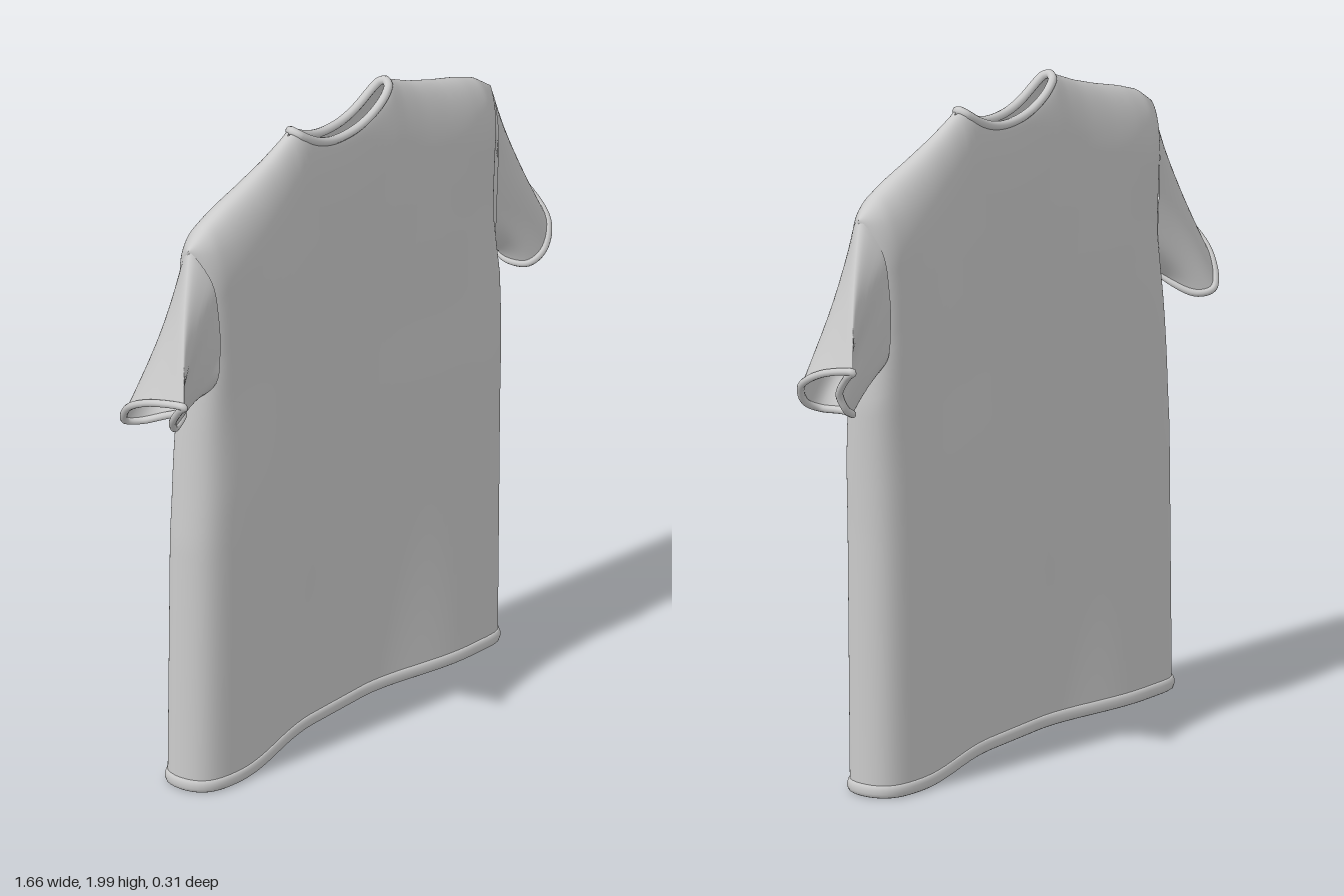
import * as THREE from 'three';

const cloth = new THREE.MeshStandardMaterial({ color: 0xcccccc, roughness: 0.9, side: THREE.DoubleSide });
const { lerp, smoothstep, clamp } = THREE.MathUtils;

// Piecewise-linear lookup through [key, value] pairs
function lookup(pairs, k) {
  for (let i = 1; i < pairs.length; i++) {
    const [a, va] = pairs[i - 1], [b, vb] = pairs[i];
    if (k <= b) return lerp(va, vb, clamp((k - a) / (b - a), 0, 1));
  }
  return pairs[pairs.length - 1][1];
}

// Surface of closed rings: at(s, t) with s around (0..1) and t along (0..1)
function ringSurface(name, cols, rows, at, skip = () => false) {
  const pos = [], idx = [];
  for (let j = 0; j <= rows; j++)
    for (let i = 0; i < cols; i++) pos.push(...at(i / cols, j / rows));
  for (let j = 0; j < rows; j++)
    for (let i = 0; i < cols; i++) {
      const a = j * cols + i, b = j * cols + (i + 1) % cols, c = a + cols, d = b + cols;
      if (!skip(pos[a * 3], pos[a * 3 + 1])) idx.push(a, c, b, b, c, d);
    }
  const geo = new THREE.BufferGeometry();
  geo.setAttribute('position', new THREE.Float32BufferAttribute(pos, 3));
  geo.setIndex(idx);
  geo.computeVertexNormals();
  const mesh = new THREE.Mesh(geo, cloth);
  mesh.name = name;
  return mesh;
}

// Rounded trim sewn along a closed edge
function trim(name, points, radius) {
  const curve = new THREE.CatmullRomCurve3(points, true);
  const mesh = new THREE.Mesh(new THREE.TubeGeometry(curve, 160, radius, 10, true), cloth);
  mesh.name = name;
  return mesh;
}

const NECK = 0.2;
const leftEdge = [[0, 0.60], [0.8, 0.61], [1.2, 0.62], [1.4, 0.605], [1.6, 0.615], [1.77, 0.64]];
const rightEdge = [[0, -0.655], [0.8, -0.645], [1.2, -0.62], [1.4, -0.605], [1.6, -0.615], [1.77, -0.64]];
const shoulder = [[NECK, 1.98], [0.3, 1.93], [0.4, 1.89], [0.5, 1.855], [0.57, 1.825], [0.64, 1.77]];

// Height of the neckline and shoulder line
function topY(x) {
  const ax = Math.abs(x);
  return ax < NECK ? 1.895 + 0.085 * Math.pow(ax / NECK, 2.2) : lookup(shoulder, ax);
}

// Half depth of the neck opening
const neckDepth = (x) => 0.03 * Math.sqrt(Math.max(0, 1 - Math.pow(Math.abs(x) / NECK, 8)));

// Point on the body: pinched in the middle of the hem, fuller at the sides, rounding over the shoulders
function bodyPoint(s, t) {
  const a = s * Math.PI * 2, u = Math.cos(a), side = Math.sin(a) >= 0 ? 1 : -1;
  const top = topY(u * 0.64), y = lerp(0.01, top, 1 - Math.pow(1 - t, 1.9));
  const x = lerp(lookup(rightEdge, y), lookup(leftEdge, y), (u + 1) / 2);
  const edge = Math.sqrt(Math.max(0, 1 - Math.pow(Math.abs(u), 20)));
  const rise = smoothstep(y, 0, 1);
  const full = lerp(lerp(0.016, 0.046, rise), 0.085, smoothstep(Math.abs(u), lerp(0.16, 0.08, rise), 0.78));
  const d = 1 - clamp((top - y) / 0.2, 0, 1);
  const close = Math.sqrt(1 - d * d);
  const depth = full * edge * close + neckDepth(u * 0.64) * (1 - close);
  const sway = 0.032 * Math.pow(u, 9) * (1 - smoothstep(y, 0.95, 1.5))
    - 0.01 * smoothstep(-u, 0.4, 0.9) * smoothstep(y, 0.9, 1.3) * close;
  return [x, y, sway + side * depth];
}

const ring = (pts) => new THREE.CatmullRomCurve3(pts.map((p) => new THREE.Vector3(...p)), true);

// All rings run from the top, down the front, and back up behind
const armhole = ring([
  [0.635, 1.768, 0], [0.605, 1.68, 0.06], [0.59, 1.56, 0.074], [0.584, 1.44, 0.074], [0.588, 1.34, 0.062],
  [0.60, 1.28, 0], [0.588, 1.34, -0.062], [0.584, 1.44, -0.074], [0.59, 1.56, -0.074], [0.605, 1.68, -0.06]]);
const leftCuff = ring([
  [0.815, 1.39, -0.13], [0.81, 1.355, -0.01], [0.79, 1.29, 0.085], [0.75, 1.225, 0.105], [0.70, 1.195, 0.09],
  [0.675, 1.195, 0.03], [0.70, 1.205, -0.03], [0.745, 1.235, -0.045], [0.775, 1.29, -0.045], [0.80, 1.36, -0.095]]);
const rightCuff = ring([
  [0.815, 1.39, -0.145], [0.81, 1.35, -0.01], [0.785, 1.28, 0.10], [0.745, 1.205, 0.145], [0.70, 1.195, 0.12],
  [0.665, 1.225, 0.05], [0.665, 1.25, -0.005], [0.72, 1.235, -0.025], [0.765, 1.285, -0.055], [0.80, 1.36, -0.115]]);

// Twisted short sleeve with its cuff
function sleeve(name, cuff) {
  const group = new THREE.Group();
  group.name = name;
  const at = (s, t) => {
    const p = armhole.getPoint(s).lerp(cuff.getPoint(s), t);
    p.x += 0.012 * Math.sin(Math.PI * t);
    return p.toArray();
  };
  group.add(ringSurface('sleeveCloth', 60, 20, at));
  group.add(trim('sleeveCuff', cuff.getPoints(60).slice(0, -1), 0.011));
  return group;
}

export function createModel() {
  const shirt = new THREE.Group();
  shirt.name = 'tShirt';

  // Body, left open where the arms pass into the sleeves
  const inArmhole = (x, y) => Math.abs(x) > 0.6 && y > 1.36 && y < 1.66;
  shirt.add(ringSurface('body', 180, 70, bodyPoint, inArmhole));

  // Bottom hem
  const hem = [];
  for (let i = 0; i < 90; i++) {
    const [x, , z] = bodyPoint(i / 90, 0);
    hem.push(new THREE.Vector3(x, 0, z));
  }
  const hemBand = trim('bottomHem', hem, 0.008);
  hemBand.scale.y = 2.4;
  hemBand.position.y = 0.021;
  shirt.add(hemBand);

  // Collar around the neck opening
  const neck = [];
  for (let i = 0; i < 60; i++) {
    const a = (i / 60) * Math.PI * 2, x = NECK * 0.985 * Math.cos(a);
    neck.push(new THREE.Vector3(x, topY(x), Math.sign(Math.sin(a)) * neckDepth(x) * Math.min(1, Math.abs(Math.sin(a)) * 4)));
  }
  shirt.add(trim('collar', neck, 0.013));

  // Sleeves, the second turned half round
  shirt.add(sleeve('leftSleeve', leftCuff));
  const right = sleeve('rightSleeve', rightCuff);
  right.rotation.y = Math.PI;
  shirt.add(right);

  return shirt;
}
